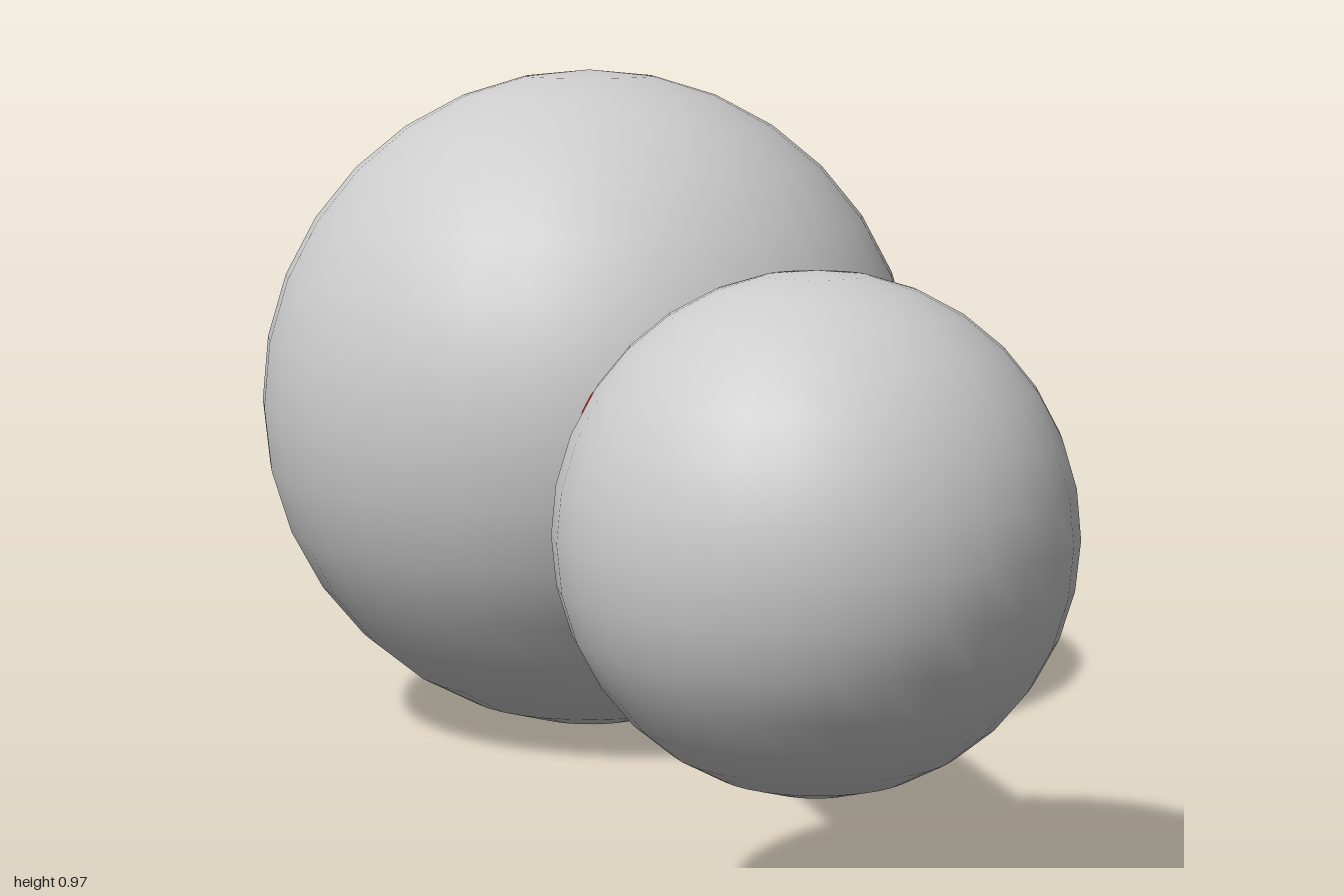
import * as THREE from 'three';

export function createModel() {
  const model = new THREE.Group();
  const grey = new THREE.MeshStandardMaterial({ color: 0xcccccc });
  const red = new THREE.MeshStandardMaterial({ color: 0xcc1111 });
  const height = 0.485, backZ = -0.515, frontZ = 0.697;

  function add(name, geometry, material, z) {
    const mesh = new THREE.Mesh(geometry, material);
    mesh.name = name;
    mesh.position.set(0, height, z);
    model.add(mesh);
  }

  // Large ball at the back, small ball at the front
  add('largeBall', new THREE.SphereGeometry(0.485, 32, 16), grey, backZ);
  add('smallBall', new THREE.SphereGeometry(0.303, 32, 16), grey, frontZ);

  // Rod joining the two ball centres
  const rod = new THREE.CylinderGeometry(0.121, 0.121, frontZ - backZ, 32).rotateX(Math.PI / 2);
  add('connectingRod', rod, red, (frontZ + backZ) / 2);

  return model;
}
